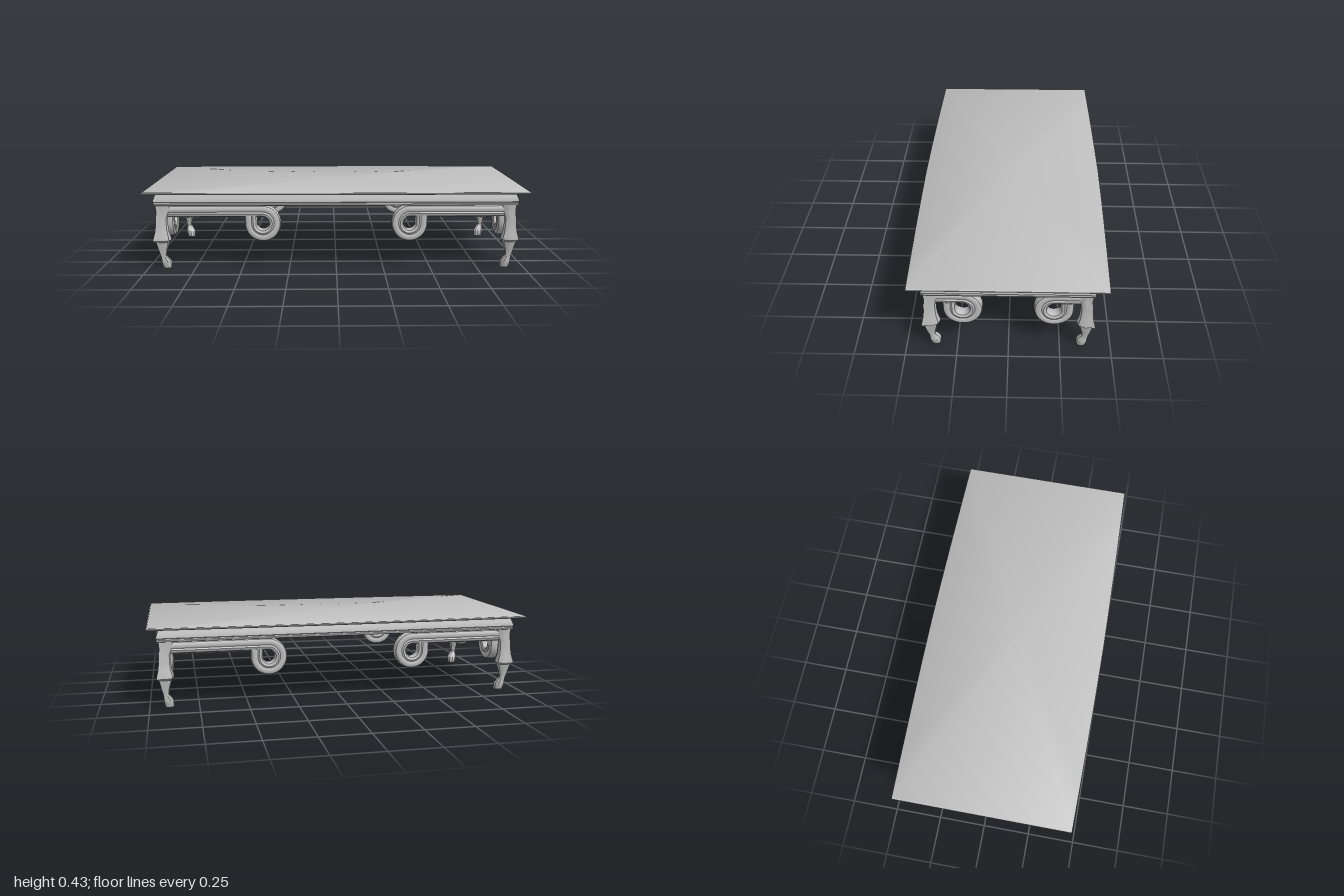
import * as THREE from 'three';
import { toCreasedNormals } from 'three/addons/utils/BufferGeometryUtils.js';

// Closed solid from a stack of equal-length rings; winding is fixed by signed volume.
function loft(rings, crease = 0.7) {
  const n = rings[0].length;
  const pts = rings.flat();
  const tris = [];
  for (let r = 0; r < rings.length - 1; r++) {
    for (let i = 0; i < n; i++) {
      const a = r * n + i, b = r * n + (i + 1) % n;
      tris.push([a, b, b + n], [a, b + n, a + n]);
    }
  }
  const cap = (start, flip) => {
    const c = new THREE.Vector3();
    for (let i = 0; i < n; i++) c.addScaledVector(pts[start + i], 1 / n);
    const m = pts.push(c) - 1;
    for (let i = 0; i < n; i++) {
      const a = start + i, b = start + (i + 1) % n;
      tris.push(flip ? [m, b, a] : [m, a, b]);
    }
  };
  cap(0, true);
  cap((rings.length - 1) * n, false);
  let volume = 0;
  const cross = new THREE.Vector3();
  for (const [a, b, c] of tris) volume += pts[a].dot(cross.crossVectors(pts[b], pts[c]));
  const geo = new THREE.BufferGeometry().setFromPoints(pts);
  geo.setIndex(tris.flatMap(([a, b, c]) => (volume < 0 ? [a, c, b] : [a, b, c])));
  return toCreasedNormals(geo, crease);
}

// Rectangle whose long sides bow gently outward
function bowedRing(y, hx, hz, bow) {
  const ring = [], steps = 8;
  for (const s of [1, -1]) {
    for (let i = 0; i <= steps; i++) {
      const t = 1 - (2 * i) / steps;
      ring.push(new THREE.Vector3(s * t * hx, y, -s * (hz + bow * (1 - Math.abs(t) ** 1.5))));
    }
  }
  return ring;
}

// Keeled leg section in the corner's own outward axes
const KEEL = [[1, 1], [0.88, 0.5], [0.95, -0.1], [0.6, -0.8], [0, -1],
  [-0.75, -0.75], [-1, 0], [-0.8, 0.6], [-0.1, 0.95], [0.5, 0.88]];
// Leg stations: height, outer z, inner z, keel strength
const LEG = [[0, 0.378, 0.332, 0.2], [0.015, 0.383, 0.331, 0.2], [0.035, 0.388, 0.332, 0.2],
  [0.052, 0.386, 0.343, 0.4], [0.07, 0.386, 0.356, 0.7], [0.1, 0.393, 0.351, 0.9],
  [0.145, 0.402, 0.337, 1], [0.155, 0.415, 0.328, 1], [0.168, 0.414, 0.328, 1],
  [0.2, 0.406, 0.338, 1], [0.24, 0.401, 0.342, 1], [0.275, 0.4, 0.342, 1],
  [0.31, 0.396, 0.328, 1], [0.35, 0.4, 0.32, 1]];

function legGeometry(sx, sz) {
  return loft(LEG.map(([y, outer, inner, k]) => {
    const c = (outer + inner) / 2, h = (outer - inner) / 2;
    return KEEL.map(([u, v], i) => {
      const a = Math.PI / 4 - (i / KEEL.length) * Math.PI * 2;
      const pu = c + h * THREE.MathUtils.lerp(Math.cos(a), u, k);
      const pv = c + h * THREE.MathUtils.lerp(Math.sin(a), v, k);
      return new THREE.Vector3(sx * (pu + 0.545), y, sz * pv);
    });
  }), 0.6);
}

// Moulded band section: offset across the band, depth
const HALF_BAND = [[-0.032, 0.014], [-0.026, 0.027], [-0.013, 0.032], [-0.004, 0.027],
  [0.004, 0.031], [0.018, 0.031], [0.027, 0.026], [0.032, 0.014]];
const BAND = [...HALF_BAND, ...HALF_BAND.map(([n, d]) => [n, -d]).reverse()];

// Straight bar along the apron that curls under into a ring; place maps (along, y, depth)
function scrollGeometry(start, centre, place) {
  const cy = 0.243, path = [[start, cy + 0.066, 0, 1]];
  const steps = 36;
  for (let i = 0; i <= steps; i++) {
    const a = (i / steps) * Math.PI * 1.5;
    const r = 0.066 - 0.006 * Math.max(0, i / steps - 0.6) / 0.4;
    path.push([centre - r * Math.sin(a), cy + r * Math.cos(a), -Math.sin(a), Math.cos(a)]);
  }
  path.push([centre + 0.06, 0.285, 1, 0]);
  return loft(path.map(([s, y, ns, ny]) =>
    BAND.map(([n, d]) => place(s + n * ns, y + n * ny, d))), 0.6);
}

export function createModel() {
  const model = new THREE.Group();
  model.name = 'lowTable';
  const grey = new THREE.MeshStandardMaterial({ color: 0xbfbfbf });
  grey.name = 'plainGrey';
  const add = (name, geometry, parent = model) => {
    const mesh = new THREE.Mesh(geometry, grey);
    mesh.name = name;
    parent.add(mesh);
  };

  // Thin top with a rounded edge
  add('tableTop', loft([[0.411, 0.985, 0.452], [0.413, 0.996, 0.463], [0.417, 1, 0.467],
    [0.421, 1, 0.467], [0.425, 0.995, 0.462]]
    .map(([y, hx, hz]) => bowedRing(y, hx, hz, 0.015))));

  // Swelling apron with a bead along its lower edge
  add('apron', loft([[0.343, 0.943, 0.398], [0.346, 0.952, 0.407], [0.354, 0.954, 0.408],
    [0.359, 0.949, 0.403], [0.363, 0.955, 0.408], [0.372, 0.954, 0.407],
    [0.39, 0.947, 0.401], [0.404, 0.942, 0.396], [0.412, 0.94, 0.394]]
    .map(([y, hx, hz]) => bowedRing(y, hx, hz, 0.003)), 0.5));

  // Each corner: one leg, a long-side scroll and a short-side scroll
  for (const sx of [1, -1]) {
    for (const sz of [1, -1]) {
      const corner = new THREE.Group();
      corner.name = `${sz > 0 ? 'front' : 'back'}${sx > 0 ? 'Left' : 'Right'}Corner`;
      model.add(corner);
      add('leg', legGeometry(sx, sz), corner);
      add('longSideScroll', scrollGeometry(0.91, 0.39,
        (s, y, d) => new THREE.Vector3(sx * s, y, sz * (0.353 + d))), corner);
      add('shortSideScroll', scrollGeometry(0.37, 0.22,
        (s, y, d) => new THREE.Vector3(sx * (0.902 + d), y, sz * s)), corner);
    }
  }
  return model;
}
